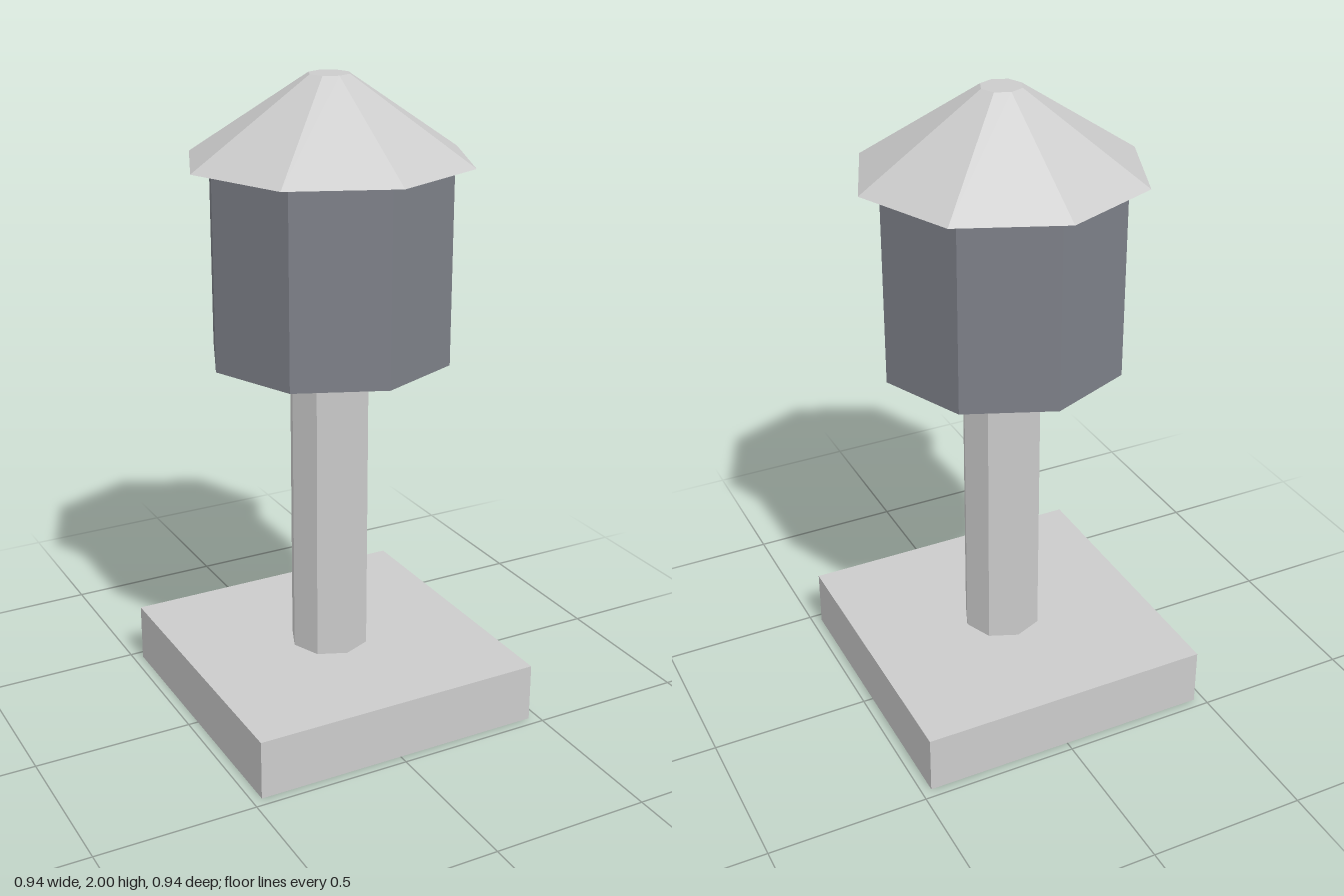
import * as THREE from 'three';

const SIDES = 8;

function material(color = 0xcccccc) {
  return new THREE.MeshStandardMaterial({ color, flatShading: true });
}

// Octagonal column or frustum spanning two heights
function octagon(name, rTop, rBottom, y0, y1, mat, open = false) {
  const geometry = new THREE.CylinderGeometry(rTop, rBottom, y1 - y0, SIDES, 1, open);
  const mesh = new THREE.Mesh(geometry, mat);
  mesh.name = name;
  mesh.position.y = (y0 + y1) / 2;
  return mesh;
}

export function createModel() {
  const model = new THREE.Group();
  model.name = 'lampPost';

  // Square foot
  const base = new THREE.Mesh(new THREE.BoxGeometry(0.9375, 0.1875, 0.9375), material());
  base.name = 'base';
  base.position.y = 0.09375;

  // Shade is a thin shell, open underneath
  const shadeMaterial = material(0x7d8088);
  shadeMaterial.side = THREE.DoubleSide;

  model.add(
    base,
    octagon('post', 0.125, 0.125, 0.1875, 1.125, material()),
    octagon('shade', 0.375, 0.375, 1.156, 1.75, shadeMaterial, true),
    // Tapered bulb inside the shade
    octagon('bulb', 0.0625, 0.156, 1.16, 1.43, material(0xcdf0ff)),
    octagon('roof', 0.0625, 0.4375, 1.75, 2, material())
  );
  return model;
}
